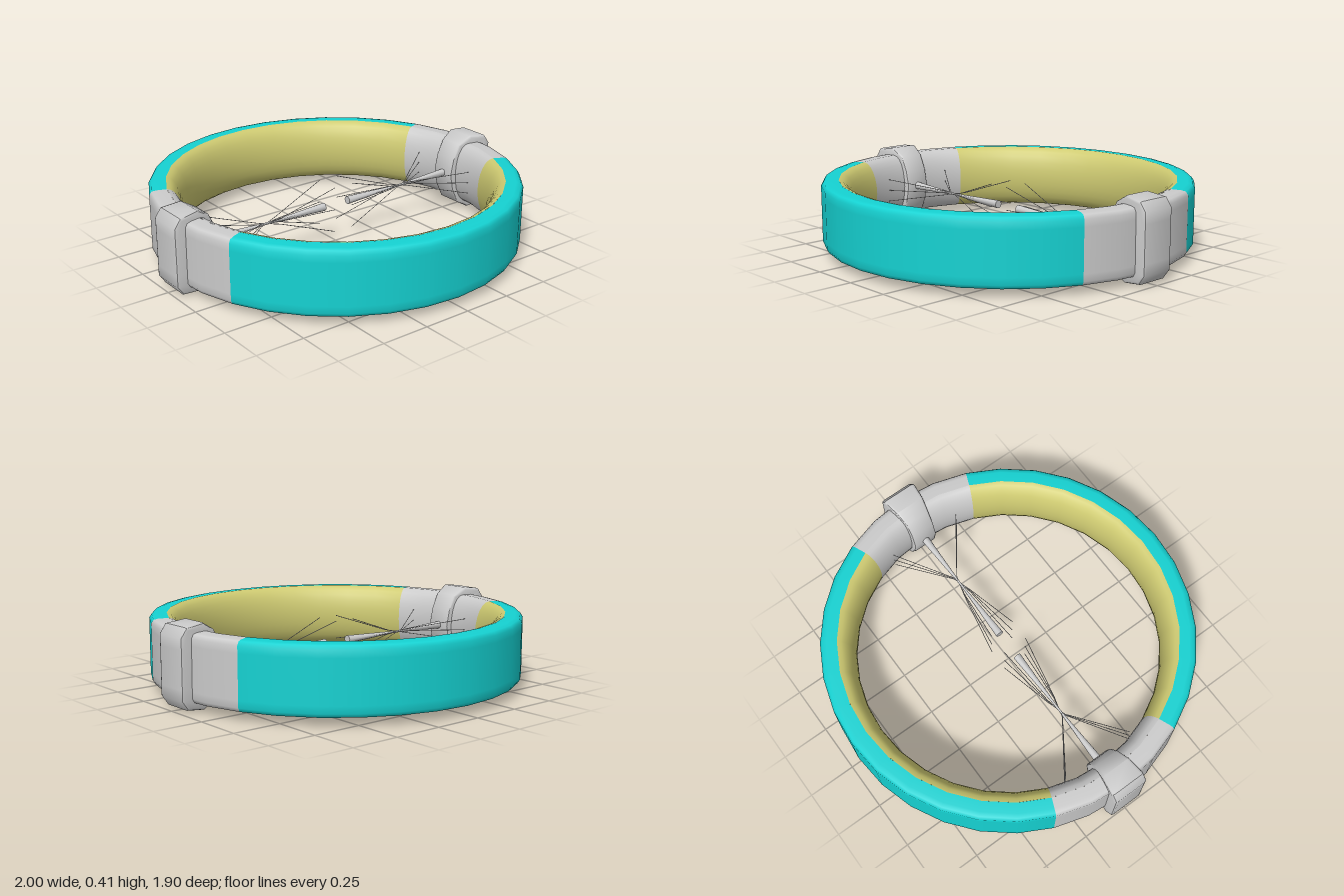
import * as THREE from 'three';
import { toCreasedNormals } from 'three/addons/utils/BufferGeometryUtils.js';

const MID = 0.208; // mid height of the band
const grey = new THREE.MeshStandardMaterial({ color: 0xcccccc });
const greyThin = new THREE.MeshStandardMaterial({ color: 0xcccccc, side: THREE.DoubleSide });
const teal = new THREE.MeshStandardMaterial({ color: 0x15d2d2 });
const olive = new THREE.MeshStandardMaterial({ color: 0xcfcb72 });

const v2 = (x, y) => new THREE.Vector2(x, y);

// Outer wall of the band with softened corners, listed from bottom to top
const outerProfile = [
  [0.862, 0.04], [0.915, 0.041], [0.938, 0.046], [0.95, 0.065], [0.95, 0.1],
  [0.95, 0.315], [0.95, 0.35], [0.938, 0.369], [0.915, 0.374], [0.862, 0.375],
].map(([x, y]) => v2(x, y));

// Rounded lining that bulges inwards, listed from top to bottom
const innerProfile = [];
for (let i = 0; i <= 12; i++) {
  const t = (i / 12) * Math.PI;
  innerProfile.push(v2(0.862 - 0.08 * Math.sin(t), MID + 0.1675 * Math.cos(t)));
}

function add(parent, name, geometry, material) {
  const mesh = new THREE.Mesh(geometry, material);
  mesh.name = name;
  parent.add(mesh);
  return mesh;
}

function arc(parent, name, profile, startDeg, segments, material) {
  const start = THREE.MathUtils.degToRad(startDeg);
  const length = THREE.MathUtils.degToRad(segments * 11.25);
  add(parent, name, new THREE.LatheGeometry(profile, segments, start, length), material);
}

// Clasp block: bevelled side profile that narrows towards the inside of the ring
function claspGeometry() {
  const half = [[1, 0.1], [1, 0.155], [0.97, 0.195], [0.87, 0.207], [0.8, 0.168], [0.76, 0.09]];
  const points = [
    ...half.map(([x, y]) => v2(x, MID - y)).reverse(),
    ...half.map(([x, y]) => v2(x, MID + y)),
    v2(0.74, MID),
  ];
  // Pull the outline in so that the bevel grows back to the full size
  const inset = points.map((p) => v2(0.87 + (p.x - 0.87) * 0.89, MID + (p.y - MID) * 0.932));
  const g = new THREE.ExtrudeGeometry(new THREE.Shape(inset), {
    depth: 0.16, bevelEnabled: true, bevelSize: 0.014, bevelThickness: 0.015, bevelSegments: 2,
  });
  g.translate(0, 0, -0.08);
  const pos = g.attributes.position;
  for (let i = 0; i < pos.count; i++) {
    const taper = 0.72 + 0.28 * THREE.MathUtils.smoothstep(pos.getX(i), 0.78, 0.95);
    pos.setZ(i, pos.getZ(i) * taper);
  }
  return toCreasedNormals(g, 0.75);
}

// Spoke made of two cones meeting at a narrow waist
function spokeGeometry() {
  const g = new THREE.LatheGeometry(
    [v2(0, 0.075), v2(0.021, 0.075), v2(0.006, 0.39), v2(0.006, 0.45), v2(0.021, 0.76), v2(0, 0.76)], 12);
  g.rotateZ(-Math.PI / 2);
  g.translate(0, MID, 0);
  return toCreasedNormals(g, 0.6);
}

// Fine wires that gather at the waist of the spoke and fan out at both ends
function addWires(parent) {
  const ends = [[1, 1], [1, -1], [-1, 1], [-1, -1], [0, 1], [0, -1]];
  for (const [sy, sz] of ends) {
    const nodes = [
      new THREE.Vector3(0.745, MID + sy * 0.06, sz * 0.2),
      new THREE.Vector3(0.47, MID + sy * 0.008, sz * 0.008),
      new THREE.Vector3(0.36, MID - sy * 0.015, -sz * 0.02),
      new THREE.Vector3(0.055, MID - sy * 0.12, -sz * 0.066),
    ];
    for (let i = 0; i < 3; i++) {
      const line = new THREE.LineCurve3(nodes[i], nodes[i + 1]);
      add(parent, 'wire', new THREE.TubeGeometry(line, 1, 0.0018, 4), greyThin);
    }
  }
}

export function createModel() {
  const model = new THREE.Group();
  model.name = 'hoop';

  // Coloured arcs at the front and back
  for (const [side, start] of [['front', -67.5], ['back', 112.5]]) {
    arc(model, side + 'BandShell', outerProfile, start, 12, teal);
    arc(model, side + 'BandLining', innerProfile, start, 12, olive);
  }

  // Grey joint, clasp, spoke and wires on the left and right
  for (const [side, turn] of [['left', 0], ['right', Math.PI]]) {
    const group = new THREE.Group();
    group.name = side + 'Joint';
    group.rotation.y = turn;
    arc(group, 'jointShell', outerProfile, 67.5, 4, grey);
    arc(group, 'jointLining', innerProfile, 67.5, 4, grey);
    add(group, 'clasp', claspGeometry(), grey);
    add(group, 'spoke', spokeGeometry(), greyThin);
    addWires(group);
    model.add(group);
  }
  return model;
}
